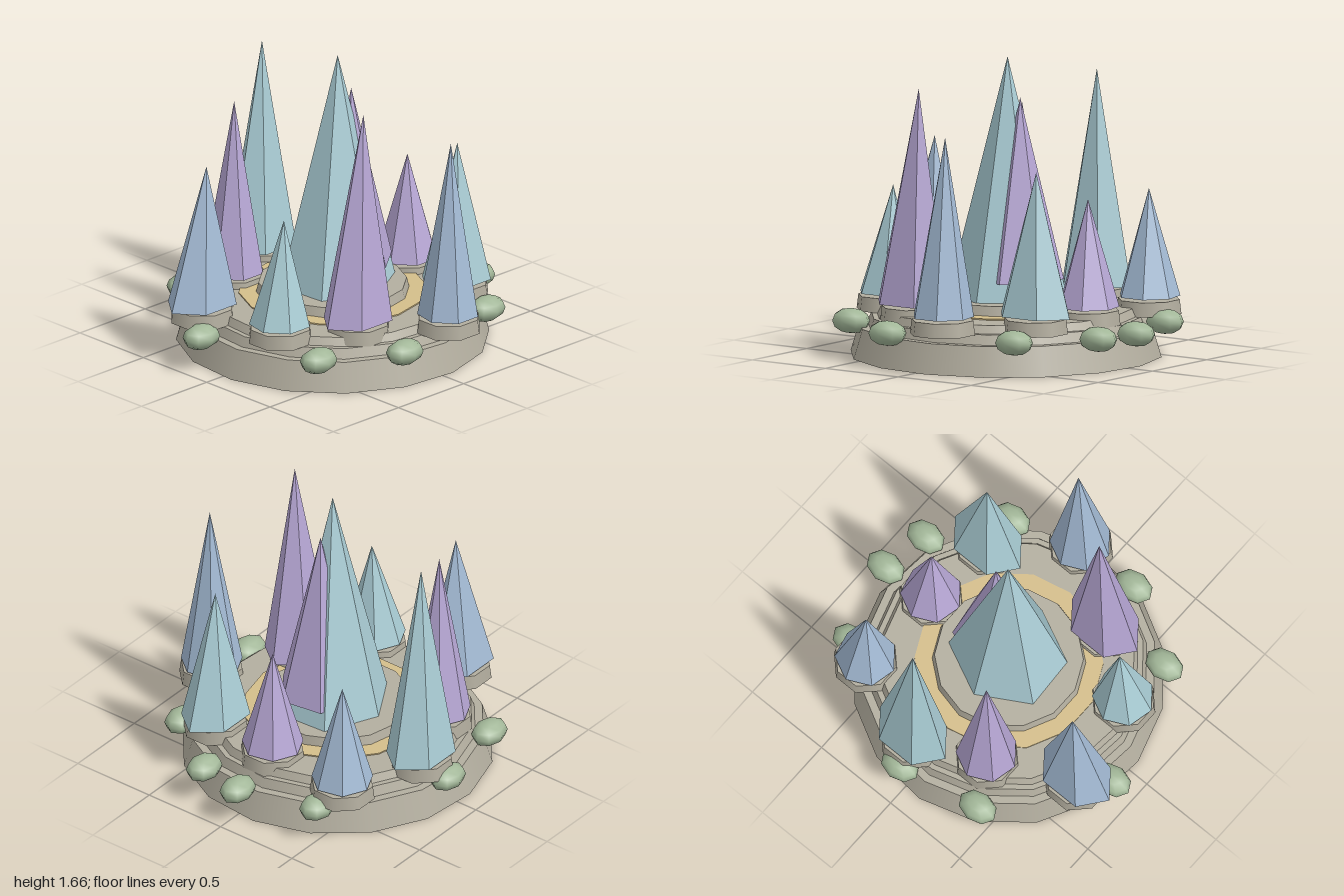
import * as THREE from 'three';

export function createModel() {
  const model = new THREE.Group();
  model.name = 'crystalGarden';

  const mat = (name, color, flatShading = false) => {
    const m = new THREE.MeshStandardMaterial({ color, flatShading });
    m.name = name;
    return m;
  };
  const stone = mat('stone', 0xb3ae9f);
  const sand = mat('sand', 0xd4be8a);
  const moss = mat('moss', 0xa3b899);
  const purple = mat('purpleCrystal', 0xb8a8d6, true);
  const teal = mat('tealCrystal', 0xabced6, true);
  const blue = mat('blueCrystal', 0xa5bcd6, true);

  const add = (name, geometry, material, x = 0, y = 0, z = 0) => {
    const mesh = new THREE.Mesh(geometry, material);
    mesh.name = name;
    mesh.position.set(x, y, z);
    model.add(mesh);
    return mesh;
  };

  // Tapered disc standing between two heights
  const disc = (name, material, x, z, rTop, rBottom, y0, y1, sides, turn = 0) => {
    const g = new THREE.CylinderGeometry(rTop, rBottom, y1 - y0, sides);
    g.rotateY(turn);
    return add(name, g, material, x, (y0 + y1) / 2, z);
  };

  // Pointed crystal: stretched base polygon, tip shifted sideways by lean
  const crystal = (name, material, x, z, y0, y1, r, sides, turn, stretch = 1, lean = 0) => {
    const h = y1 - y0;
    const g = new THREE.ConeGeometry(r, h, sides);
    g.rotateY(turn);
    g.scale(stretch, 1, 1);
    const p = g.attributes.position;
    for (let i = 0; i < p.count; i++) {
      p.setX(i, p.getX(i) + lean * (0.5 + p.getY(i) / h));
    }
    g.computeVertexNormals();
    return add(name, g, material, x, (y0 + y1) / 2, z);
  };

  // Terraced stone base, sand ring and inner platform
  const c = -0.017;
  disc('base', stone, c, c, 0.815, 0.865, 0, 0.165, 16, 0.1);
  disc('lowerTerrace', stone, c, c, 0.75, 0.77, 0.165, 0.22, 16, 0.1);
  disc('upperTerrace', stone, c, c, 0.7, 0.72, 0.22, 0.265, 16, 0.1);
  disc('sandRing', sand, c, c, 0.52, 0.52, 0.265, 0.272, 14);
  disc('innerPlatform', stone, c, c, 0.41, 0.425, 0.265, 0.325, 14);

  // Central pair
  crystal('centralCrystal', teal, 0.005, 0, 0.3, 1.66, 0.315, 6, 0.05, 1.1);
  crystal('companionCrystal', purple, 0.1, 0.01, 0.43, 1.44, 0.24, 6, 0.14);

  // Ring of crystals on pedestals: x, z, lean
  const ring = [
    [0.55, -0.01, 0], [0.51, 0.42, 0.005], [0.122, 0.755, 0.018],
    [-0.294, 0.47, 0.04], [-0.645, 0.217, 0.027], [-0.745, -0.295, 0.03],
    [-0.288, -0.52, 0.005], [0.1, -0.695, 0], [0.584, -0.525, 0],
  ];
  const colours = [purple, teal, blue];
  ring.forEach(([x, z, lean], i) => {
    const wide = i % 2 === 1;
    const top = 0.915 + 0.2 * (i % 4);
    disc('pedestal', stone, x, z, 0.175, 0.185, 0.22, 0.3, 8, Math.PI / 8);
    crystal('ringCrystal', colours[i % 3], x, z, 0.315, top, 0.173,
      wide ? 6 : 7, wide ? Math.PI / 6 : Math.PI, wide ? 1.36 : 1, lean);
  });

  // Moss clumps round the rim
  const clumps = [
    [0.873, -0.02], [0.82, 0.257], [0.527, 0.64], [-0.238, 0.78], [-0.666, 0.54],
    [-0.885, -0.16], [-0.425, -0.76], [0.06, -0.85], [0.735, -0.47],
  ];
  const clump = new THREE.SphereGeometry(1, 8, 6);
  clump.scale(0.118, 0.07, 0.088);
  clumps.forEach(([x, z]) => add('mossClump', clump, moss, x, 0.193, z));

  return model;
}
